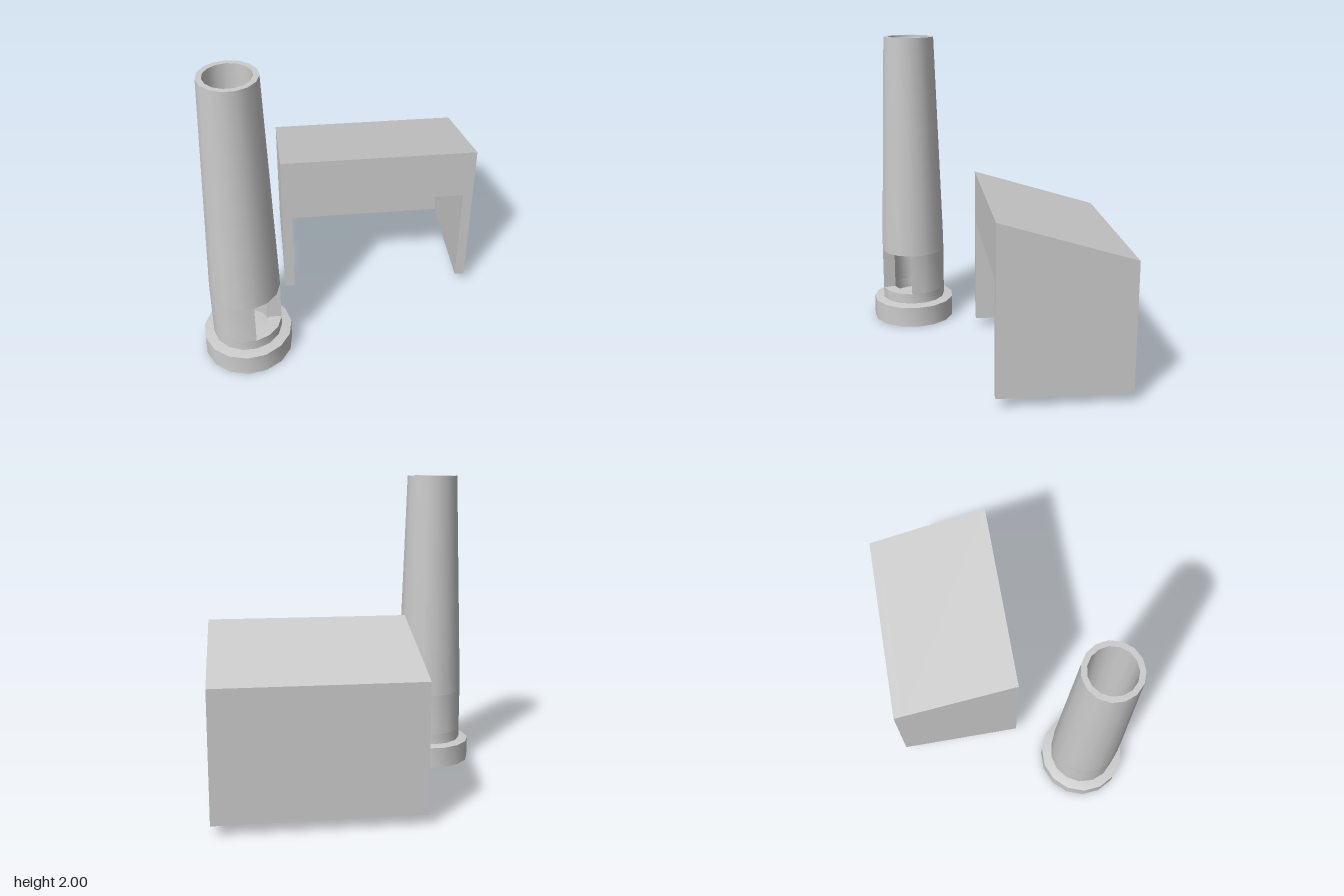
import * as THREE from 'three';
import { toCreasedNormals } from 'three/addons/utils/BufferGeometryUtils.js';

const material = new THREE.MeshStandardMaterial({ color: 0xcccccc });
const thin = new THREE.MeshStandardMaterial({ color: 0xcccccc, side: THREE.DoubleSide });
const rad = THREE.MathUtils.degToRad;

function addMesh(parent, name, geometry, mat = material) {
  const mesh = new THREE.Mesh(geometry, mat);
  mesh.name = name;
  parent.add(mesh);
  return mesh;
}

// Lathed wall with 24 degree facets, smooth around and sharp at its rims
function turned(profile, start, sweep = 360) {
  const points = profile.map(([r, y]) => new THREE.Vector2(r, y));
  const g = new THREE.LatheGeometry(points, sweep / 24, rad(start), rad(sweep));
  return toCreasedNormals(g, 0.6);
}

function createChimney() {
  const chimney = new THREE.Group();
  chimney.name = 'chimney';
  const R = 0.22, r = 0.137;          // outer and inner radius
  const sill = 0.22, lintel = 0.5;    // opening heights
  const a0 = 14, a1 = 86;             // opening angles

  addMesh(chimney, 'base', turned([[0, 0], [0.283, 0], [0.283, 0.14], [R, 0.15], [0, 0.15]], 22));

  // Wall below, beside and above the opening
  addMesh(chimney, 'lowerOuterWall', turned([[R, 0.15], [R, sill]], a0));
  addMesh(chimney, 'lowerInnerWall', turned([[r, sill], [r, 0.15]], a0));
  addMesh(chimney, 'middleOuterWall', turned([[R, sill], [R, lintel]], a1, 288));
  addMesh(chimney, 'middleInnerWall', turned([[r, lintel], [r, sill]], a1, 288));
  addMesh(chimney, 'taperedStack', turned([[R, lintel], [R, 0.56], [0.17, 2], [r, 2], [r, lintel]], a0));

  // Edges of the opening
  addMesh(chimney, 'openingSill', turned([[R, sill], [r, sill]], a0, a1 - a0), thin);
  addMesh(chimney, 'openingLintel', turned([[r, lintel], [R, lintel]], a0, a1 - a0), thin);
  for (const a of [a0, a1]) {
    const jamb = new THREE.PlaneGeometry(R - r, lintel - sill);
    jamb.translate((R + r) / 2, (sill + lintel) / 2, 0);
    jamb.rotateY(rad(a - 90));
    addMesh(chimney, 'openingJamb', jamb, thin);
  }
  chimney.position.set(-0.625, 0, 0.477);
  return chimney;
}

function createShed() {
  const shed = new THREE.Group();
  shed.name = 'shed';
  const x0 = -0.36, x1 = 0.905, y0 = 0.065, top = 1.11;
  const front = 0.05, back = -0.76, wall = 0.063, ceiling = 0.77;

  // Extrude an outline from z0 to z1, then tilt its top edge to the roof slope
  function slab(corners, z0, z1) {
    const shape = new THREE.Shape(corners.map(([x, y]) => new THREE.Vector2(x, y)));
    const g = new THREE.ExtrudeGeometry(shape, { depth: z1 - z0, bevelEnabled: false });
    g.translate(0, 0, z0);
    const p = g.attributes.position;
    for (let i = 0; i < p.count; i++) {
      if (p.getY(i) > 1) p.setY(i, top - 0.245 * (front - p.getZ(i)) / (front - back));
    }
    g.computeVertexNormals();
    return g;
  }

  addMesh(shed, 'sidesAndRoof', slab([
    [x0, y0], [x0 + wall, y0], [x0 + wall, ceiling], [x1 - wall, ceiling],
    [x1 - wall, y0], [x1, y0], [x1, top], [x0, top],
  ], back + wall, front));
  addMesh(shed, 'backWall', slab([[x0, y0], [x1, y0], [x1, top], [x0, top]], back, back + wall));
  return shed;
}

export function createModel() {
  const model = new THREE.Group();
  model.name = 'chimneyAndShed';
  model.add(createChimney(), createShed());
  return model;
}
